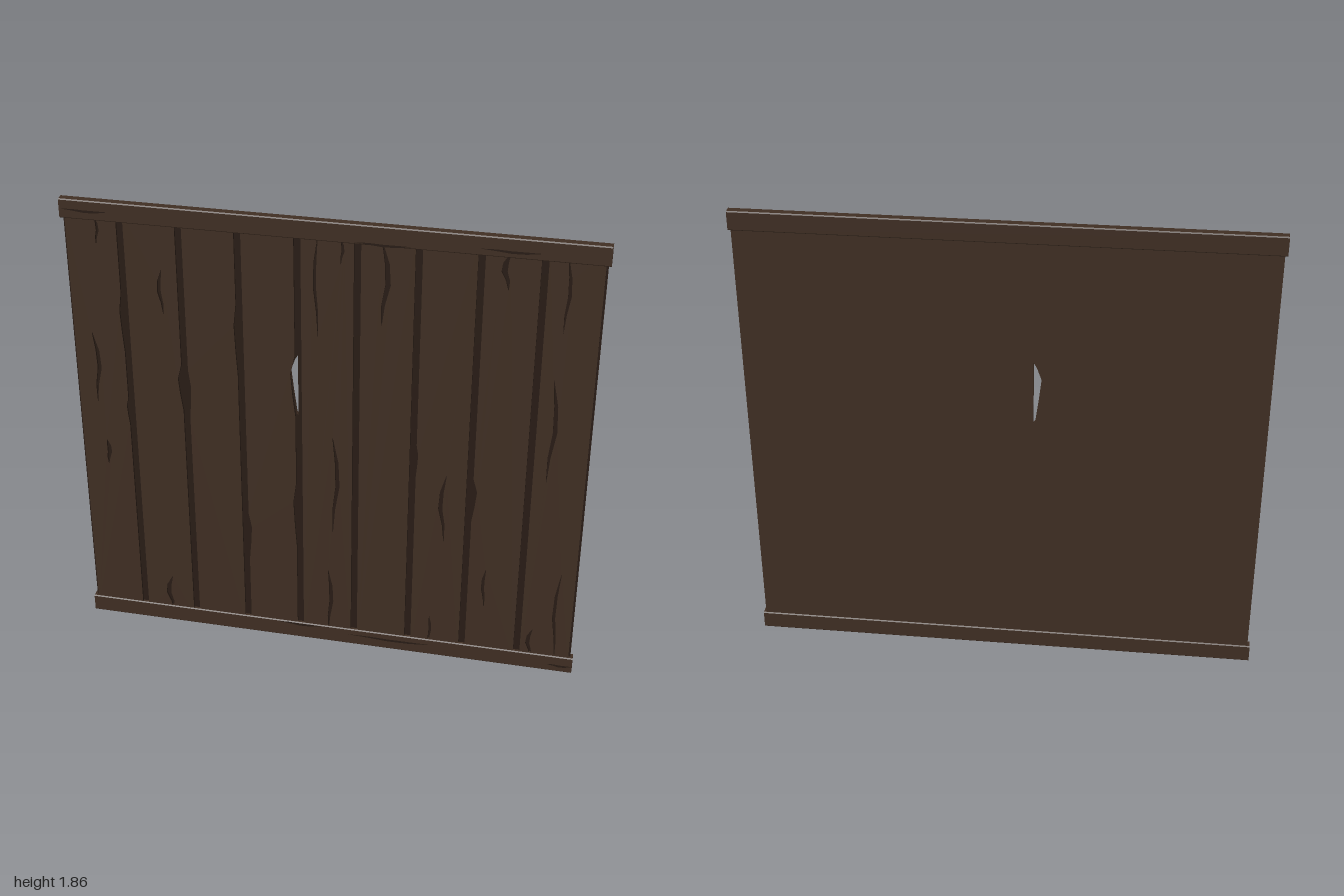
import * as THREE from 'three';

const wood = new THREE.MeshStandardMaterial({ color: 0x3f2e23 });
wood.name = 'dark wood';
const shade = new THREE.MeshStandardMaterial({ color: 0x281c15 });
shade.name = 'groove and crack brown';

const PLANKS = 9, PITCH = 0.2213, GAP = 0.026, LOW = 0.03, HIGH = 1.83;

// vertical cracks: x, bottom, top, width, sideways bend
const CRACKS = [
  [-0.905, 1.02, 1.32, 0.018, 0.012], [-0.885, 0.74, 0.85, 0.02, 0.005], [-0.865, 1.69, 1.8, 0.012, 0.006],
  [-0.63, 1.43, 1.61, 0.016, -0.008], [-0.66, 0.05, 0.22, 0.022, -0.012], [-0.04, 1.4, 1.8, 0.013, -0.008],
  [0.053, 1.7, 1.8, 0.012, 0.005], [0.21, 1.47, 1.8, 0.022, 0.014], [0.03, 0.54, 0.97, 0.018, 0.012],
  [0.01, 0.05, 0.35, 0.018, 0.008], [0.455, 0.56, 0.86, 0.018, -0.012], [0.42, 0.05, 0.19, 0.012, 0.003],
  [0.63, 0.27, 0.45, 0.014, -0.006], [0.645, 1.66, 1.8, 0.024, -0.012], [0.86, 1.51, 1.8, 0.014, 0.008],
  [0.845, 0.88, 1.32, 0.018, 0.012], [0.92, 0.05, 0.47, 0.014, -0.01], [0.825, 0.05, 0.19, 0.018, -0.01],
];

// chipped plank edges: plank, side, bottom, top, depth
const CHIPS = [
  [0, 1, 0.93, 1.05, 0.008], [0, 1, 1.25, 1.5, 0.01], [1, 1, 1.02, 1.22, 0.016],
  [2, -1, 0.98, 1.2, 0.008], [2, 1, 1.2, 1.5, 0.01], [3, -1, 0.36, 0.58, 0.012],
  [3, 1, 0.45, 0.75, 0.012], [3, 1, 1.05, 1.31, 0.018], [6, -1, 0.84, 0.98, 0.007],
  [7, -1, 0.67, 0.86, 0.016],
];

// horizontal rail cracks: left, right, y
const RAIL_CRACKS = [
  [-0.99, -0.82, 1.82], [0.55, 0.76, 1.81], [0.1, 0.3, 1.791],
  [0.09, 0.42, 0.045], [0.9, 0.995, 0.03], [-0.2, -0.03, 0.066],
];

const V = (x, y) => new THREE.Vector2(x, y);

// a bent sliver pointed at both ends
function sliver(x, y0, y1, width, bend) {
  const right = [], left = [];
  [0, 0.25, 0.5, 0.75, 1].forEach((t, i) => {
    const mid = x + bend * [-0.6, -0.3, 0.9, 0.6, -0.7][i];
    const half = width * [0.04, 0.3, 0.45, 0.4, 0.06][i];
    const y = y0 + (y1 - y0) * t;
    right.push(V(mid + half, y));
    left.unshift(V(mid - half, y));
  });
  return [...right, ...left];
}

function add(group, name, geometry, material) {
  const mesh = new THREE.Mesh(geometry, material);
  mesh.name = name;
  group.add(mesh);
  return mesh;
}

function backing(group) {
  const shape = new THREE.Shape([V(-0.99, LOW), V(0.99, LOW), V(0.99, HIGH), V(-0.99, HIGH)]);
  // split that goes right through the wall
  shape.holes.push(new THREE.Path([V(-0.113, 1.05), V(-0.113, 1.31), V(-0.125, 1.29), V(-0.143, 1.24), V(-0.133, 1.15), V(-0.121, 1.06)]));
  const slab = new THREE.ExtrudeGeometry(shape, { depth: 0.016, bevelEnabled: false });
  add(group, 'backPanel', slab.translate(0, 0, -0.013), wood);
  add(group, 'grooveFloor', new THREE.ShapeGeometry(shape).translate(0, 0, 0.004), shade);
}

function plank(group, i) {
  const centre = (i - (PLANKS - 1) / 2) * PITCH, half = (PITCH - GAP) / 2;
  const edge = side => {
    const points = [V(centre + side * half, LOW)];
    for (const [p, s, y0, y1, d] of CHIPS) {
      if (p !== i || s !== side) continue;
      const x = centre + side * half;
      points.push(V(x, y0), V(x - side * d * 0.6, y0 + (y1 - y0) * 0.35), V(x - side * d, y0 + (y1 - y0) * 0.7), V(x, y1));
    }
    points.push(V(centre + side * half, HIGH));
    return points;
  };
  const shape = new THREE.Shape([...edge(1), ...edge(-1).reverse()]);
  for (const [x, y0, y1, w, b] of CRACKS) {
    if (Math.abs(x - centre) < half) shape.holes.push(new THREE.Path(sliver(x, y0, y1, w, b)));
  }
  const geometry = new THREE.ExtrudeGeometry(shape, { depth: 0.009, bevelEnabled: false });
  add(group, 'plank', geometry.translate(0, 0, 0.004), [wood, shade]);
}

function rail(group, name, y0, y1) {
  const z = 0.018, c = 0.004;
  const profile = new THREE.Shape([
    V(-z + c, y0), V(z - c, y0), V(z, y0 + c), V(z, y1 - c),
    V(z - c, y1), V(-z + c, y1), V(-z, y1 - c), V(-z, y0 + c),
  ]);
  const geometry = new THREE.ExtrudeGeometry(profile, { depth: 2, bevelEnabled: false });
  add(group, name, geometry.rotateY(Math.PI / 2).translate(-1, 0, 0), wood);
}

export function createModel() {
  const group = new THREE.Group();
  group.name = 'plankWall';
  backing(group);
  for (let i = 0; i < PLANKS; i++) plank(group, i);
  rail(group, 'bottomRail', 0, 0.073);
  rail(group, 'topRail', 1.785, 1.86);

  // thin cracks along the rails
  for (const [x0, x1, y] of RAIL_CRACKS) {
    const shape = new THREE.Shape(sliver(0, x0, x1, 0.011, 0.003));
    const crack = add(group, 'railCrack', new THREE.ShapeGeometry(shape), shade);
    crack.geometry.rotateZ(-Math.PI / 2).translate(0, y, 0.0186);
  }
  return group;
}
